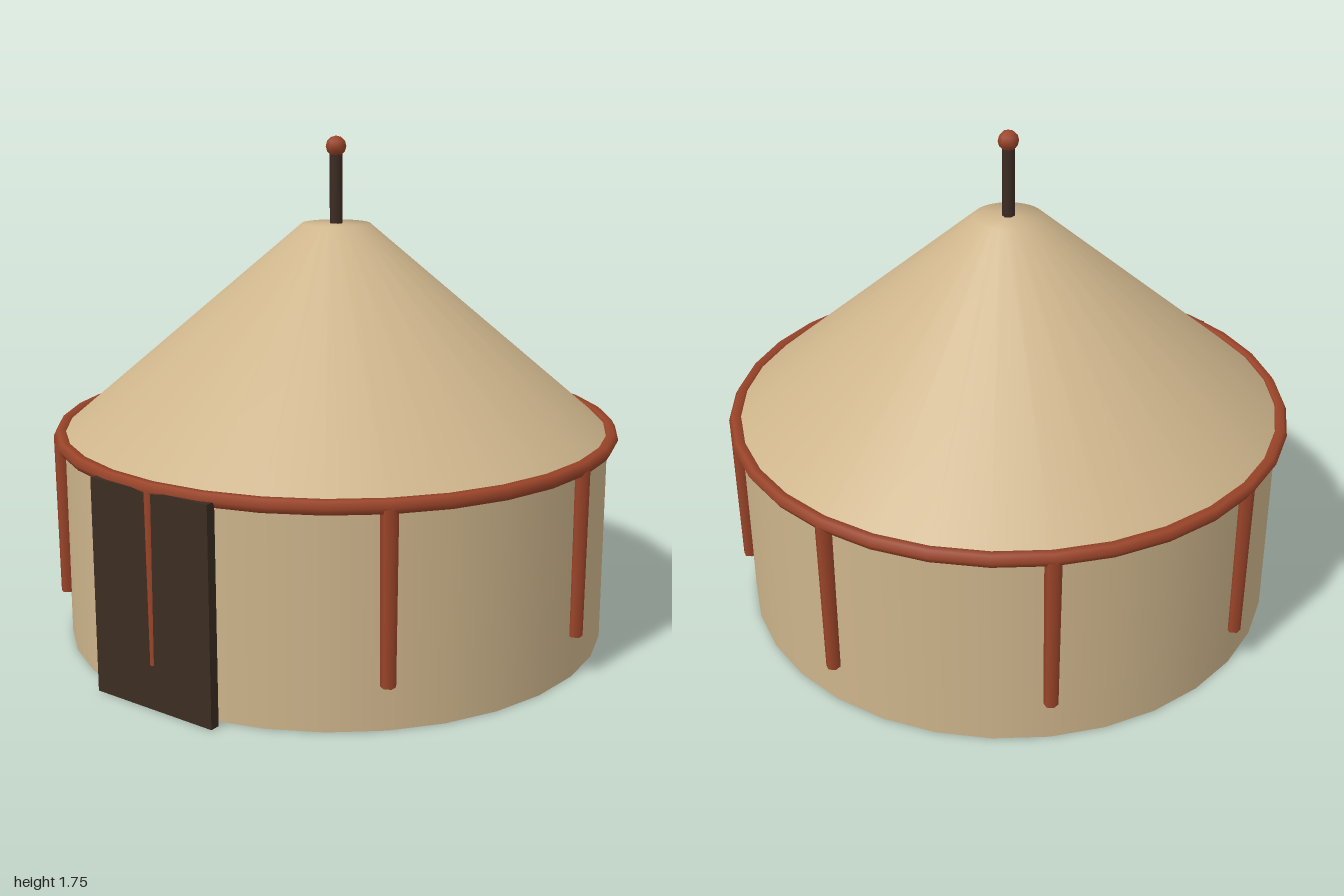
import * as THREE from 'three';

const canvas = new THREE.MeshStandardMaterial({ name: 'tan canvas', color: 0xcdb48b, side: THREE.DoubleSide });
const redWood = new THREE.MeshStandardMaterial({ name: 'red wood', color: 0x9a4429 });
const darkWood = new THREE.MeshStandardMaterial({ name: 'dark wood', color: 0x3c2c22 });

export function createModel() {
  const group = new THREE.Group();
  group.name = 'roundTent';

  const add = (name, geometry, material, x = 0, y = 0, z = 0) => {
    const mesh = new THREE.Mesh(geometry, material);
    mesh.name = name;
    mesh.position.set(x, y, z);
    group.add(mesh);
    return mesh;
  };

  // Round wall, open underneath
  add('wall', new THREE.CylinderGeometry(0.96, 0.96, 0.724, 32, 1, true), canvas, 0, 0.362, 0);

  // Sloped roof with a small flat crown, softly shaded across the rim
  const roofProfile = [[0.972, 0.722], [0.12, 1.445], [0, 1.445]].map(([x, y]) => new THREE.Vector2(x, y));
  add('roof', new THREE.LatheGeometry(roofProfile, 32), canvas);

  // Rope ring around the eave
  const ring = new THREE.TorusGeometry(0.972, 0.025, 6, 32).rotateX(Math.PI / 2);
  add('eaveRing', ring, redWood, 0, 0.724, 0);

  // Eight hanging posts around the wall
  const post = new THREE.CylinderGeometry(0.028, 0.0245, 0.57, 6);
  for (let i = 0; i < 8; i++) {
    const a = (i * Math.PI) / 4;
    add('wallPost', post, redWood, 0.97 * Math.sin(a), 0.435, 0.97 * Math.cos(a));
  }

  // Door slab at the front
  add('door', new THREE.BoxGeometry(0.48, 0.723, 0.034), darkWood, 0, 0.3615, 0.973);

  // Mast and finial on the crown
  add('mast', new THREE.CylinderGeometry(0.022, 0.022, 0.27, 6), darkWood, 0, 1.575, 0);
  add('finial', new THREE.SphereGeometry(0.036, 8, 6), redWood, 0, 1.71, 0);

  return group;
}
